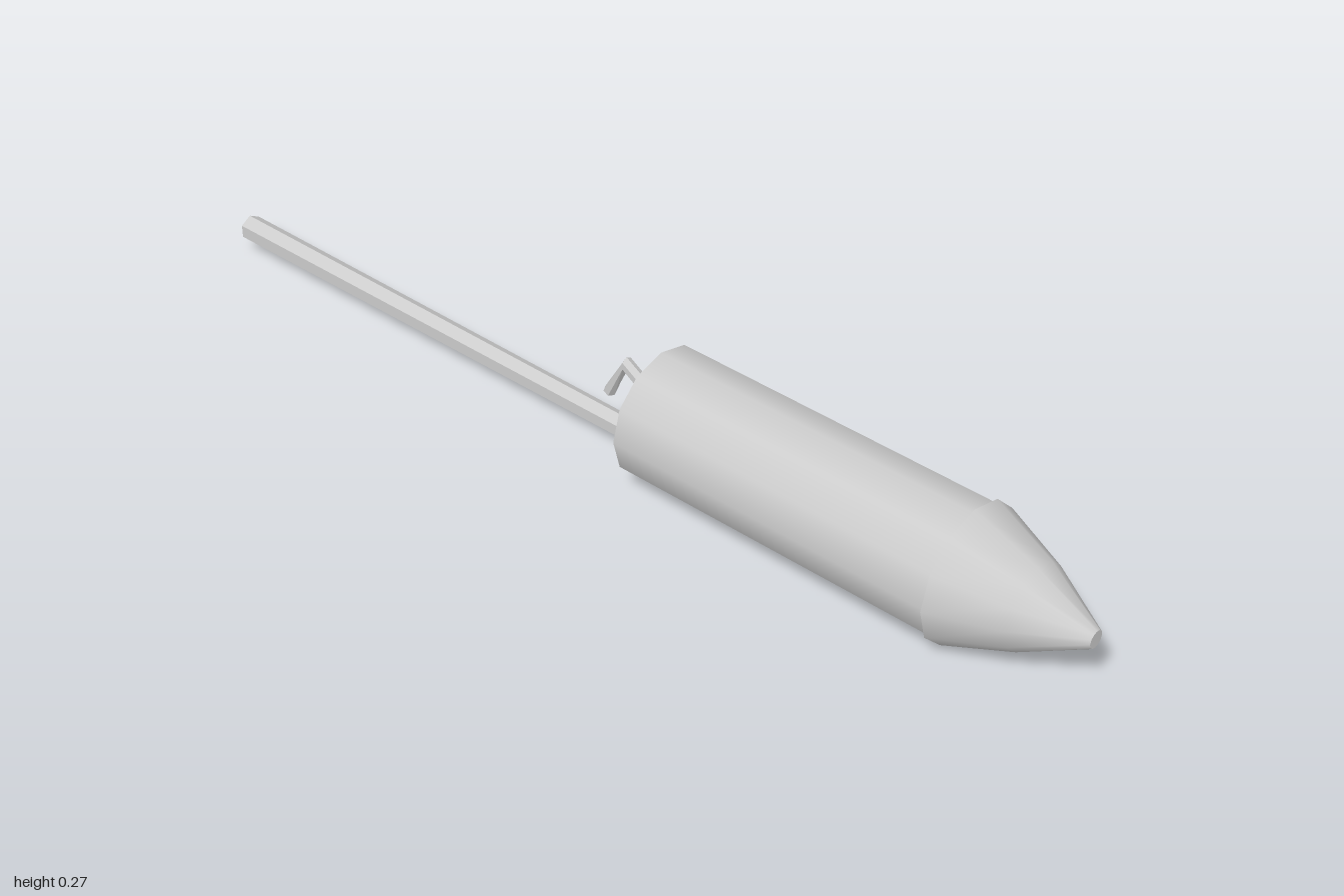
import * as THREE from 'three';

const AXIS_Y = 0.133;
const SIDES = 12;

export function createModel() {
  const model = new THREE.Group();
  const grey = new THREE.MeshStandardMaterial({ color: 0xcccccc });
  grey.name = 'light grey';

  const add = (parent, name, geometry) => {
    const mesh = new THREE.Mesh(geometry, grey);
    mesh.name = name;
    parent.add(mesh);
    return mesh;
  };

  // Rocket parts are made upright, then laid along +x
  const rocket = new THREE.Group();
  rocket.name = 'rocket';
  rocket.rotation.z = -Math.PI / 2;
  rocket.position.y = AXIS_Y;
  model.add(rocket);

  add(rocket, 'body', new THREE.CylinderGeometry(0.126, 0.126, 0.67, SIDES)).position.y = 0.415;

  // Nose: slightly bulging cone with a blunt tip and a small overhang
  const profile = [[0.133, 0.75], [0.082, 0.88], [0.017, 1]].map(([r, y]) => new THREE.Vector2(r, y));
  add(rocket, 'noseCone', new THREE.LatheGeometry(profile, SIDES));
  add(rocket, 'noseTip', new THREE.CircleGeometry(0.017, SIDES).rotateX(-Math.PI / 2)).position.y = 1;
  add(rocket, 'noseBase', new THREE.CircleGeometry(0.133, SIDES).rotateX(Math.PI / 2)).position.y = 0.75;

  // Guide stick: six-sided, with sharp edges, a ridge on top and a slight taper
  const stickGeometry = new THREE.CylinderGeometry(0.022, 0.026, 1.1, 6).toNonIndexed();
  stickGeometry.computeVertexNormals();
  stickGeometry.rotateY(Math.PI / 2).rotateZ(-Math.PI / 2);
  add(model, 'stick', stickGeometry).position.set(-0.45, 0.054, 0);

  add(model, 'fuse', fuseGeometry());
  return model;
}

// Bent fuse: hexagonal rings joined along a two-part path, with a mitred bend
function fuseGeometry() {
  const n = 6;
  // centre x, y and half-width direction x, y of each ring
  const rings = [
    [-0.04, 0.118, -0.011, 0.005],
    [0, 0.197, 0, 0.014],
    [0.085, 0.142, 0.007, 0.012],
  ];
  const positions = [];
  const point = (k, i) => {
    const [x, y, ux, uy] = rings[k];
    const a = (i / n) * Math.PI * 2;
    return [x + ux * Math.cos(a), y + uy * Math.cos(a), 0.013 * Math.sin(a)];
  };
  const triangle = (...corners) => corners.forEach((c) => positions.push(...c));
  for (let i = 0; i < n; i++) {
    for (let k = 0; k < 2; k++) {
      const a = point(k, i), b = point(k + 1, i), c = point(k + 1, i + 1), d = point(k, i + 1);
      triangle(a, d, b);
      triangle(b, d, c);
    }
    triangle([rings[0][0], rings[0][1], 0], point(0, i + 1), point(0, i));
    triangle([rings[2][0], rings[2][1], 0], point(2, i), point(2, i + 1));
  }
  const geometry = new THREE.BufferGeometry();
  geometry.setAttribute('position', new THREE.Float32BufferAttribute(positions, 3));
  geometry.computeVertexNormals();
  return geometry;
}
